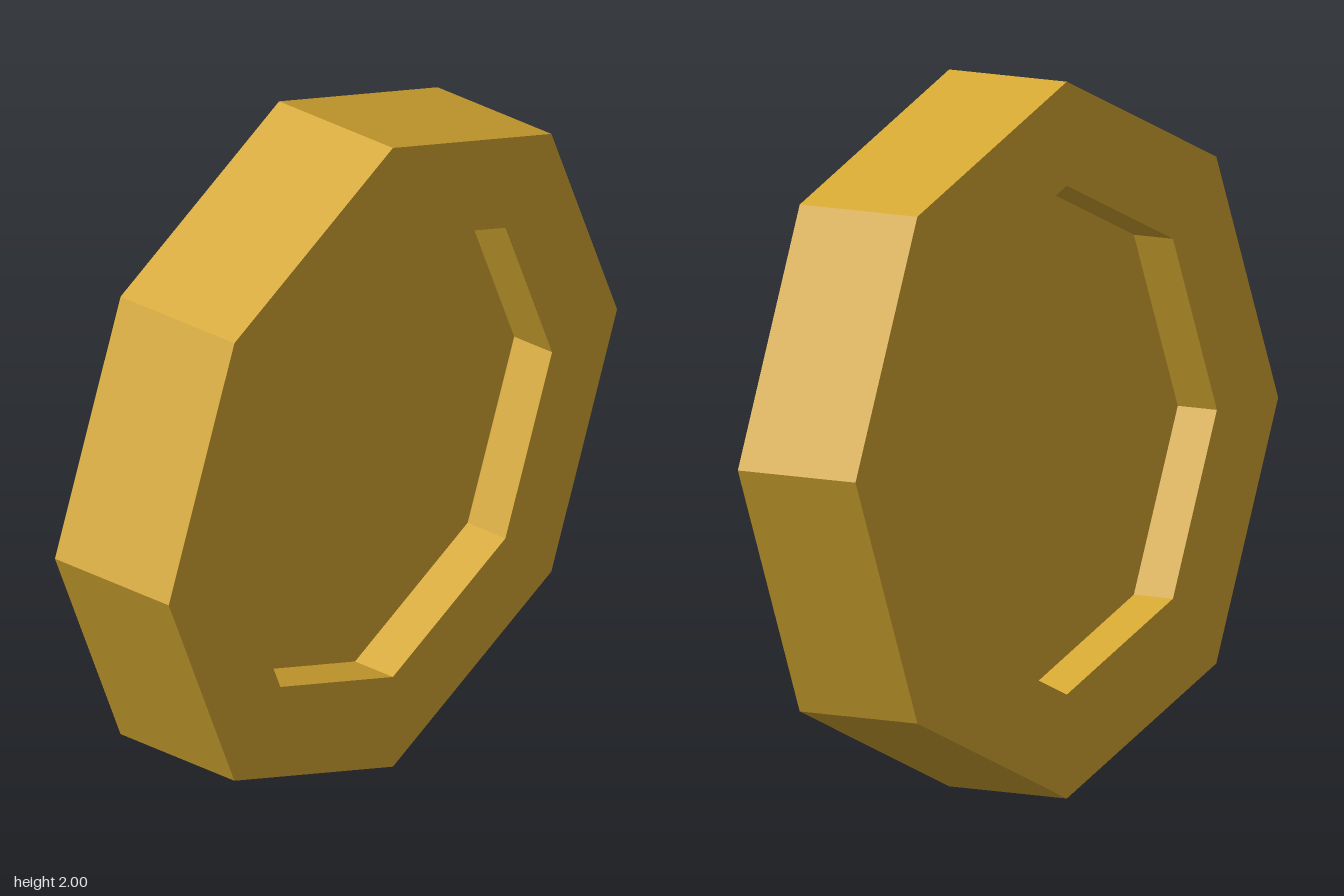
import * as THREE from 'three';

export function createModel() {
  const group = new THREE.Group();
  group.name = 'coin';

  const gold = new THREE.MeshStandardMaterial({ color: 0xd4a731, flatShading: true });
  gold.name = 'gold';

  const sides = 8;
  const outerRadius = 1;
  const innerRadius = 0.71;
  const halfRim = 0.2; // half thickness of the raised rim
  const halfCore = 0.067; // half thickness of the sunken disc

  // Half cross-section, from the back centre around the rim to the front centre
  const profile = [
    [0, -halfCore],
    [innerRadius, -halfCore],
    [innerRadius, -halfRim],
    [outerRadius, -halfRim],
    [outerRadius, halfRim],
    [innerRadius, halfRim],
    [innerRadius, halfCore],
    [0, halfCore],
  ].map(([r, h]) => new THREE.Vector2(r, h));

  // Eight-sided coin standing on one corner, recessed on both faces
  const coin = new THREE.Mesh(new THREE.LatheGeometry(profile, sides), gold);
  coin.name = 'coinBody';
  coin.rotation.x = Math.PI / 2;
  coin.position.y = outerRadius;
  group.add(coin);

  return group;
}
